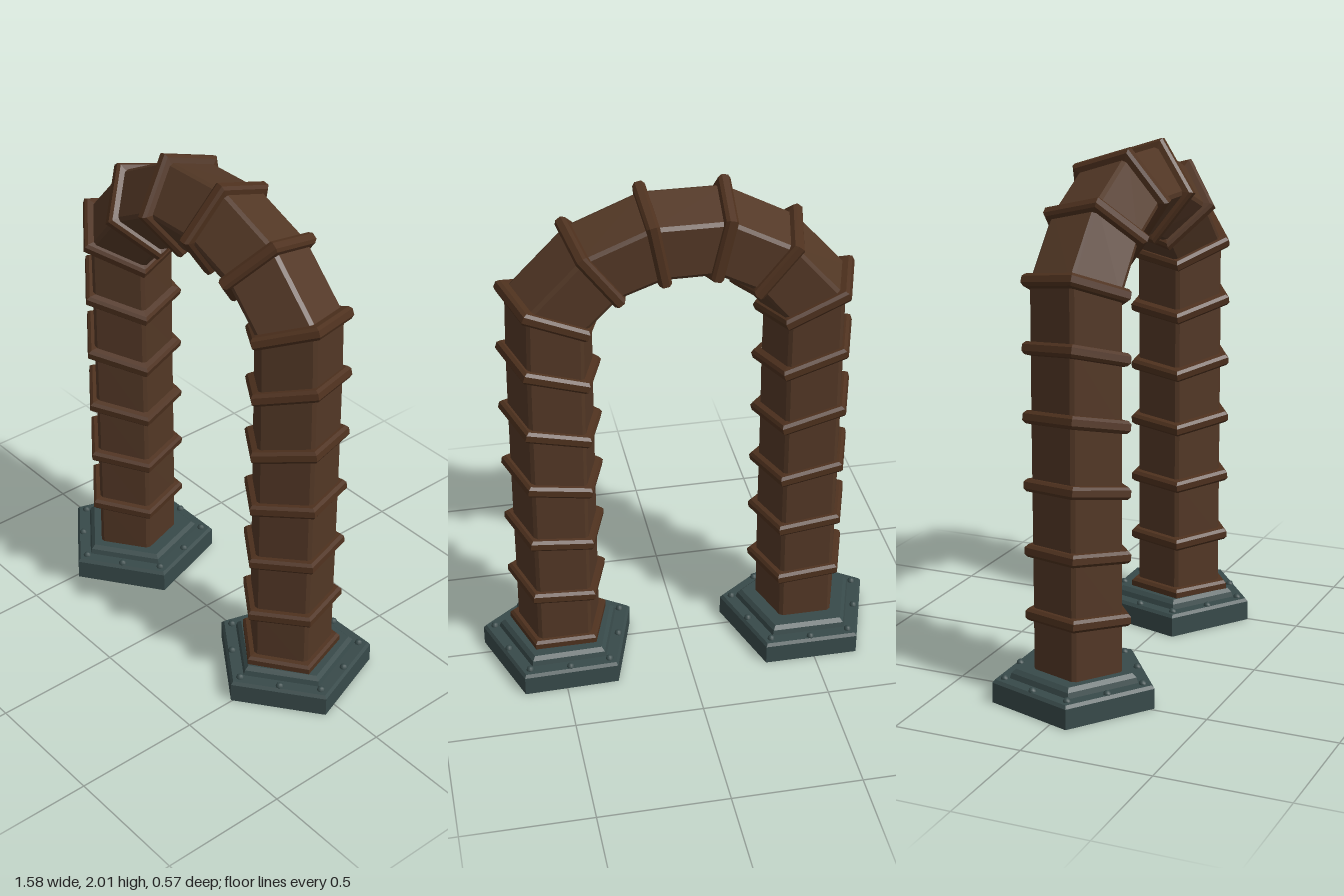
import * as THREE from 'three';

const PIPE_Z = -0.01;
const DEG = Math.PI / 180;

// Pipe stations along the arch: x, y, tilt of the cross-section in degrees, half width
const STATIONS = [
  [-0.49, 0.10, 0, 0.165],
  [-0.488, 0.33, -5, 0.165],
  [-0.487, 0.57, -7, 0.166],
  [-0.487, 0.81, -11, 0.167],
  [-0.487, 1.055, -15, 0.169],
  [-0.485, 1.30, -18, 0.171],
  [-0.485, 1.53, -24, 0.175],
  [-0.335, 1.705, -50, 0.164],
  [-0.135, 1.81, -77, 0.167],
  [0.10, 1.81, -101, 0.167],
  [0.31, 1.73, -127, 0.165],
  [0.475, 1.565, -157, 0.175],
  [0.48, 1.335, -163, 0.171],
  [0.482, 1.09, -167, 0.169],
  [0.483, 0.855, -171, 0.167],
  [0.484, 0.61, -174, 0.166],
  [0.484, 0.36, -176, 0.165],
  [0.485, 0.135, -180, 0.165],
  [0.485, 0.10, -180, 0.165],
];

// Five-sided ring of revolution with flat faces, one corner towards +z
function fiveSided(profile) {
  const g = new THREE.LatheGeometry(profile.map(([r, y]) => new THREE.Vector2(r, y)), 5).toNonIndexed();
  g.computeVertexNormals();
  return g;
}

// Unit pentagon with narrow chamfers on its corners: [x, z]
function pentagon() {
  const pts = [];
  for (let i = 0; i < 5; i++) {
    for (const d of [-3, 3]) {
      const a = (i * 72 + d) * DEG;
      const r = Math.cos(36 * DEG) / Math.cos((36 - Math.abs(d)) * DEG);
      pts.push([r * Math.sin(a), r * Math.cos(a)]);
    }
  }
  return pts;
}

// One pipe segment joining two tilted cross-sections
function segment(a, b) {
  const pent = pentagon();
  const section = ([x, y, tilt, half]) => pent.map(([u, w]) => {
    const s = u * half / 0.951;
    return [x + s * Math.cos(tilt * DEG), y + s * Math.sin(tilt * DEG), PIPE_Z + w * 0.174];
  });
  const p = section(a), q = section(b), pos = [];
  for (let i = 0; i < pent.length; i++) {
    const j = (i + 1) % pent.length;
    pos.push(...p[i], ...p[j], ...q[i], ...q[j], ...q[i], ...p[j]);
  }
  const g = new THREE.BufferGeometry();
  g.setAttribute('position', new THREE.Float32BufferAttribute(pos, 3));
  g.computeVertexNormals();
  return g;
}

export function createModel() {
  const model = new THREE.Group();
  model.name = 'pipeArch';

  const pipeBrown = new THREE.MeshStandardMaterial({ color: 0x523725 });
  pipeBrown.name = 'pipe brown';
  const bandBrown = new THREE.MeshStandardMaterial({ color: 0x4e311e });
  bandBrown.name = 'band brown';
  const baseTeal = new THREE.MeshStandardMaterial({ color: 0x384a4a });
  baseTeal.name = 'base teal';

  const add = (parent, geometry, material, name) => {
    const mesh = new THREE.Mesh(geometry, material);
    mesh.name = name;
    parent.add(mesh);
    return mesh;
  };

  // Pipe segments
  const pipe = new THREE.Group();
  pipe.name = 'pipe';
  model.add(pipe);
  for (let i = 0; i < STATIONS.length - 1; i++) {
    add(pipe, segment(STATIONS[i], STATIONS[i + 1]), pipeBrown, 'pipeSegment');
  }

  // Raised bands over the joints
  const bandGeometry = fiveSided([
    [0.16, -0.026], [0.192, -0.023], [0.204, -0.012],
    [0.204, 0.012], [0.192, 0.023], [0.16, 0.026],
  ]);
  const bands = new THREE.Group();
  bands.name = 'bands';
  model.add(bands);
  for (const [x, y, tilt, half] of STATIONS.slice(1, -1)) {
    const band = add(bands, bandGeometry, bandBrown, 'band');
    band.position.set(x, y, PIPE_Z + 0.003);
    band.rotation.z = tilt * DEG;
    band.scale.x = half / 0.165;
  }

  // Stepped bases, hollow underneath, with rivets on the rim
  const baseGeometry = fiveSided([
    [0, 0.08], [0.295, 0.08], [0.295, 0], [0.315, 0], [0.315, 0.078], [0.304, 0.09],
    [0.25, 0.09], [0.243, 0.11], [0.226, 0.125], [0, 0.125],
  ]);
  const collarGeometry = fiveSided([
    [0.21, 0.081], [0.21, 0.068], [0.24, 0.068], [0.24, 0.081],
  ]);
  const rivetGeometry = new THREE.SphereGeometry(0.016, 8, 3, 0, Math.PI * 2, 0, Math.PI / 2);
  for (const side of [-1, 1]) {
    const base = new THREE.Group();
    base.name = side > 0 ? 'leftBase' : 'rightBase';
    base.position.set(side * 0.487, 0, -0.025);
    base.rotation.y = side > 0 ? 0.025 : 0;
    model.add(base);
    add(base, baseGeometry, baseTeal, 'basePlate');
    add(base, collarGeometry, bandBrown, 'undersideCollar');
    for (let i = 0; i < 10; i++) {
      const r = i % 2 ? 0.232 : 0.268;
      const rivet = add(base, rivetGeometry, baseTeal, 'rivet');
      rivet.position.set(r * Math.sin(i * 36 * DEG), 0.089, r * Math.cos(i * 36 * DEG));
    }
  }
  return model;
}
